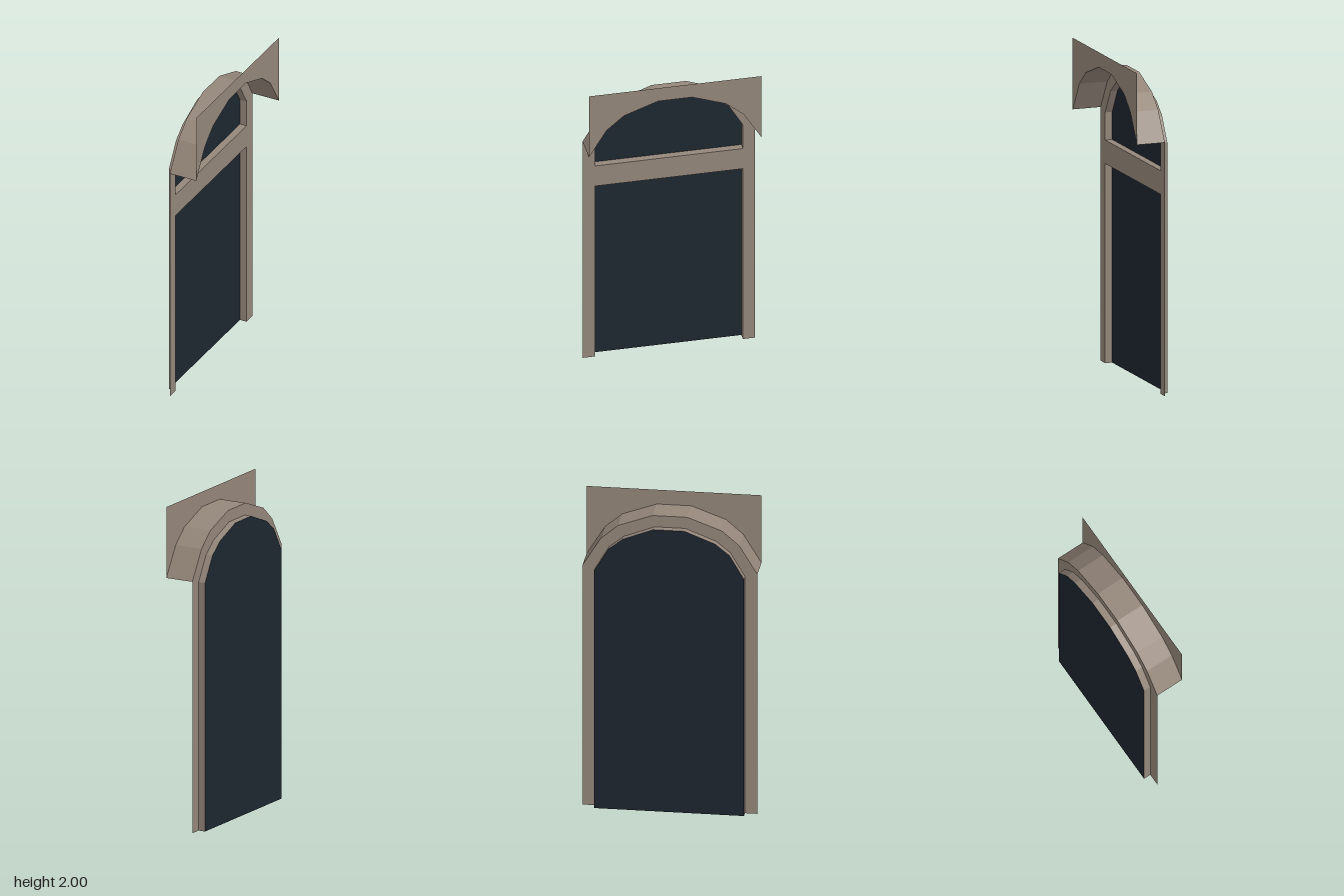
import * as THREE from 'three';

const BACK = -0.114, FACE = -0.069, FRONT = 0.111;

// half arches from springing to crown, [across, height]
const outerHalf = [[0.53, 1.56], [0.42, 1.74], [0.315, 1.83], [0.105, 1.907]];
const innerHalf = [[0.455, 1.542], [0.367, 1.691], [0.28, 1.761], [0.094, 1.834]];

const mirror = (half) => [...half, ...half.map(([u, y]) => [-u, y]).reverse()];
const points = (list) => list.map(([u, y]) => new THREE.Vector2(u, y));

// flat sheet at a given depth
function sheet(outline, depth, holes = []) {
  const shape = new THREE.Shape(points(outline));
  for (const hole of holes) shape.holes.push(new THREE.Path(points(hole)));
  return new THREE.ShapeGeometry(shape).translate(0, 0, depth);
}

// faceted band following a polyline between two depths
function band(path, d0, d1) {
  const pos = [];
  for (let i = 0; i < path.length - 1; i++) {
    const [a, b] = path[i], [c, d] = path[i + 1];
    pos.push(a, b, d0, a, b, d1, c, d, d1, a, b, d0, c, d, d1, c, d, d0);
  }
  const g = new THREE.BufferGeometry();
  g.setAttribute('position', new THREE.Float32BufferAttribute(pos, 3));
  g.computeVertexNormals();
  return g;
}

export function createModel() {
  const stone = new THREE.MeshStandardMaterial({ color: 0x94867a, side: THREE.DoubleSide, flatShading: true });
  const glass = new THREE.MeshStandardMaterial({ color: 0x1d2630, side: THREE.DoubleSide, flatShading: true });
  const window = new THREE.Group();
  window.name = 'archedWindow';
  const add = (name, geometry, material = stone) => {
    const mesh = new THREE.Mesh(geometry, material);
    mesh.name = name;
    window.add(mesh);
  };

  const outer = mirror(outerHalf), inner = mirror(innerHalf);
  const w = innerHalf[0][0], W = outerHalf[0][0];
  const low = 1.227, high = 1.372; // transom edges
  const opening = [[w, 0], ...inner, [-w, 0]];

  // glass behind the whole opening
  add('glassPane', sheet(opening, BACK), glass);

  // face of the frame, open at the bottom
  add('frameFace', sheet([[W, 0], ...outer, [-W, 0], [-w, 0], ...[...inner].reverse(), [w, 0]], FACE));
  add('frameReveal', band(opening, BACK, FACE));

  // transom bar across the opening
  add('transomFace', sheet([[w, low], [w, high], [-w, high], [-w, low]], FACE));
  add('transomTop', band([[w, high], [-w, high]], BACK, FACE));
  add('transomUnderside', band([[-w, low], [w, low]], BACK, FACE));

  // deep arch soffit and the wall plate above it
  add('archSoffit', band(outer, FACE, FRONT));
  add('spandrelPlate', sheet([...outer, [-W, 2], [W, 2]], FRONT));

  // the window looks toward +x
  window.rotation.y = Math.PI / 2;
  const model = new THREE.Group();
  model.add(window);
  return model;
}
